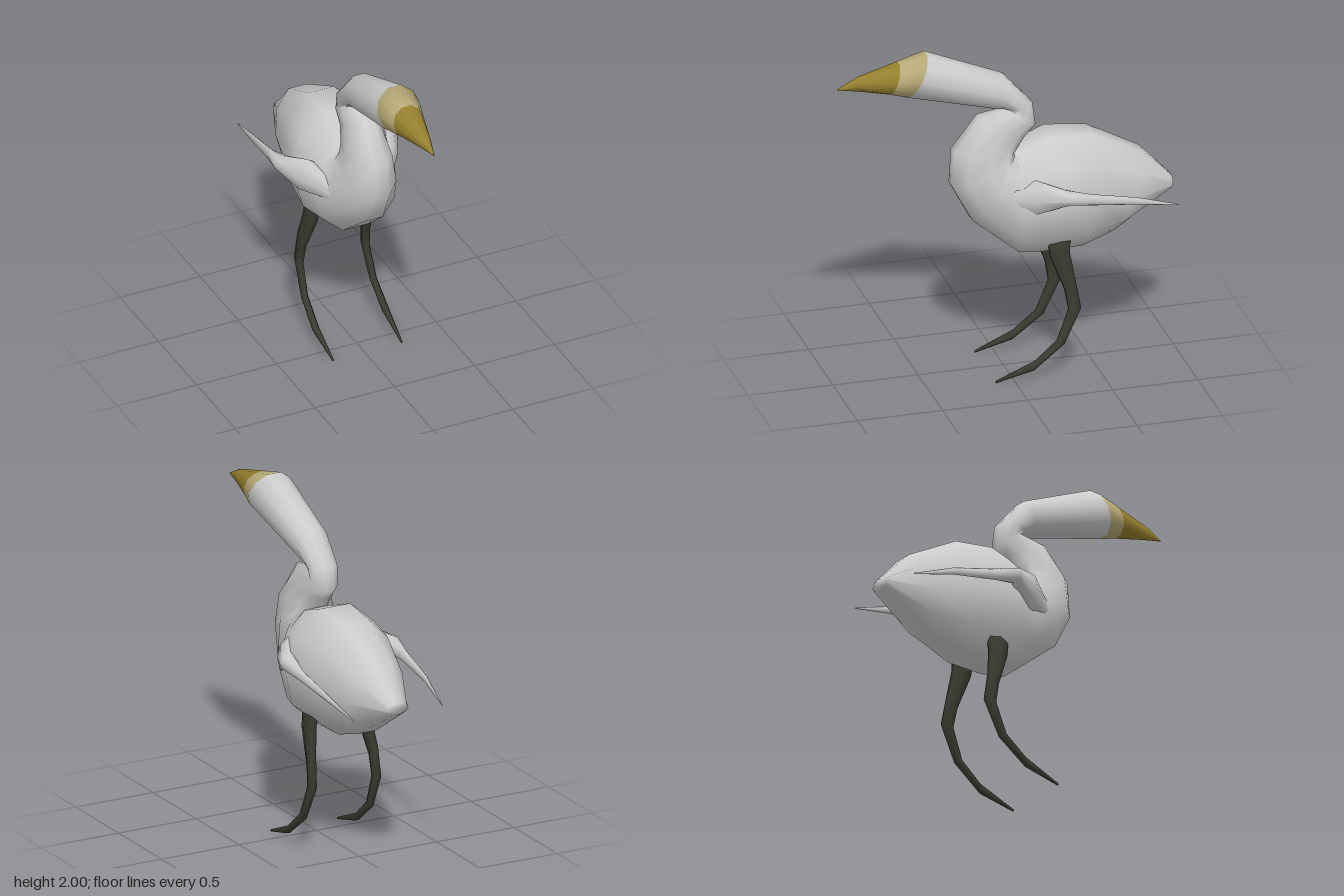
import * as THREE from 'three';

// Closed smooth skin through rings of [zTop, yTop, zBottom, yBottom, halfWidth, xCentre]
function loft(rings, sides) {
  const pos = [], index = [];
  // largest sine among the ring corners, so the rings reach their full height
  let reach = 0;
  for (let j = 0; j < sides; j++) reach = Math.max(reach, Math.sin((j / sides) * Math.PI * 2));
  for (const [zt, yt, zb, yb, hw, cx = 0] of rings) {
    for (let j = 0; j < sides; j++) {
      const a = (j / sides) * Math.PI * 2, s = Math.sin(a) / reach / 2;
      pos.push(cx + hw * Math.cos(a), (yt + yb) / 2 + (yt - yb) * s, (zt + zb) / 2 + (zt - zb) * s);
    }
  }
  for (let i = 0; i < rings.length - 1; i++) {
    for (let j = 0; j < sides; j++) {
      const k = (j + 1) % sides;
      const a = i * sides + j, b = i * sides + k;
      index.push(a, b, b + sides, a, b + sides, a + sides);
    }
  }
  // end caps
  const last = (rings.length - 1) * sides;
  for (let j = 1; j < sides - 1; j++) {
    index.push(0, j + 1, j, last, last + j, last + j + 1);
  }
  const g = new THREE.BufferGeometry();
  g.setAttribute('position', new THREE.Float32BufferAttribute(pos, 3));
  g.setIndex(index);
  g.computeVertexNormals();
  return g;
}

// Part of a lofted skin that keeps the normals of the whole
function slice(geometry, from, to) {
  const g = geometry.clone();
  g.setIndex(Array.from(geometry.index.array.slice(from, to)));
  return g;
}

export function createModel() {
  const group = new THREE.Group();
  const grey = new THREE.MeshStandardMaterial({ color: 0xcccccc });
  const paleBeak = new THREE.MeshStandardMaterial({ color: 0xb9ab78 });
  const yellow = new THREE.MeshStandardMaterial({ color: 0x96802f });
  const dark = new THREE.MeshStandardMaterial({ color: 0x3a3b30 });
  const add = (name, geometry, material) => {
    const mesh = new THREE.Mesh(geometry, material);
    mesh.name = name;
    group.add(mesh);
  };

  // Tail, body, folded neck, head and beak in one continuous skin
  const sides = 10;
  const skin = loft([
    [-0.98, 1.07, -0.97, 1.00, 0.07, 0.015],
    [-0.81, 1.25, -0.63, 0.79, 0.18, 0.02],
    [-0.50, 1.41, -0.44, 0.73, 0.26, 0.02],
    [-0.26, 1.43, -0.20, 0.73, 0.31, 0.02],
    [-0.04, 1.35, -0.06, 0.74, 0.25, 0.02],
    [-0.04, 1.35, 0.20, 0.95, 0.19, 0.01],
    [-0.06, 1.36, 0.31, 1.16, 0.155, 0.01],
    [-0.08, 1.38, 0.30, 1.37, 0.13, 0.01],
    [-0.12, 1.43, 0.15, 1.57, 0.10, 0.01],
    [-0.18, 1.49, -0.02, 1.60, 0.085, 0.01],
    [-0.16, 1.63, 0.00, 1.605, 0.09, 0.01],
    [0.00, 1.81, 0.06, 1.62, 0.105, 0.015],
    [0.46, 2.00, 0.58, 1.76, 0.135, 0.015],
    [0.62, 1.96, 0.68, 1.786, 0.095, 0.015],
    [0.86, 1.90, 0.86, 1.82, 0.038, 0.015],
    [0.98, 1.842, 0.98, 1.838, 0.002, 0.015],
  ], sides);
  const band = sides * 6;
  const tailCap = slice(skin, 15 * band, Infinity);
  add('bodyNeckAndHead', slice(skin, 0, 12 * band), grey);
  add('beakBase', slice(skin, 12 * band, 13 * band), paleBeak);
  add('beakTip', slice(skin, 13 * band, 15 * band), yellow);
  add('tailEnd', tailCap, grey);

  // Wings: slim folded blades from the pointed shoulder back to the tail
  const wing = [ // x, y, z, halfWidth, halfHeight
    [0.285, 1.00, -0.95, 0.002, 0.004],
    [0.32, 1.07, -0.70, 0.010, 0.022],
    [0.335, 1.12, -0.42, 0.022, 0.035],
    [0.335, 1.15, -0.28, 0.055, 0.045],
    [0.25, 1.13, -0.12, 0.07, 0.11],
    [0.14, 1.08, 0.08, 0.03, 0.05],
  ];
  for (const [side, s] of [['left', 1], ['right', -1]]) {
    const rings = wing.map(([x, y, z, w, h]) => [z, y + h, z, y - h, w, s * x]);
    add(side + 'Wing', loft(rings, 8), grey);
  }

  // Legs: thigh, backward knee, shin and pointed foot (front edge, back edge, half width)
  const leg = [
    [-0.20, 0.90, -0.34, 0.90, 0.035],
    [-0.22, 0.73, -0.33, 0.75, 0.035],
    [-0.30, 0.52, -0.36, 0.58, 0.028],
    [-0.32, 0.40, -0.39, 0.41, 0.025],
    [-0.25, 0.22, -0.29, 0.20, 0.022],
    [-0.12, 0.11, -0.11, 0.06, 0.022],
    [0.11, 0.012, 0.11, 0.00, 0.006],
  ];
  const legX = {
    left: [0.18, 0.20, 0.215, 0.225, 0.235, 0.24, 0.23],
    right: [-0.14, -0.155, -0.185, -0.19, -0.195, -0.20, -0.20],
  };
  for (const side of ['left', 'right']) {
    add(side + 'Leg', loft(leg.map((r, i) => [...r, legX[side][i]]), 6), dark);
  }

  return group;
}
